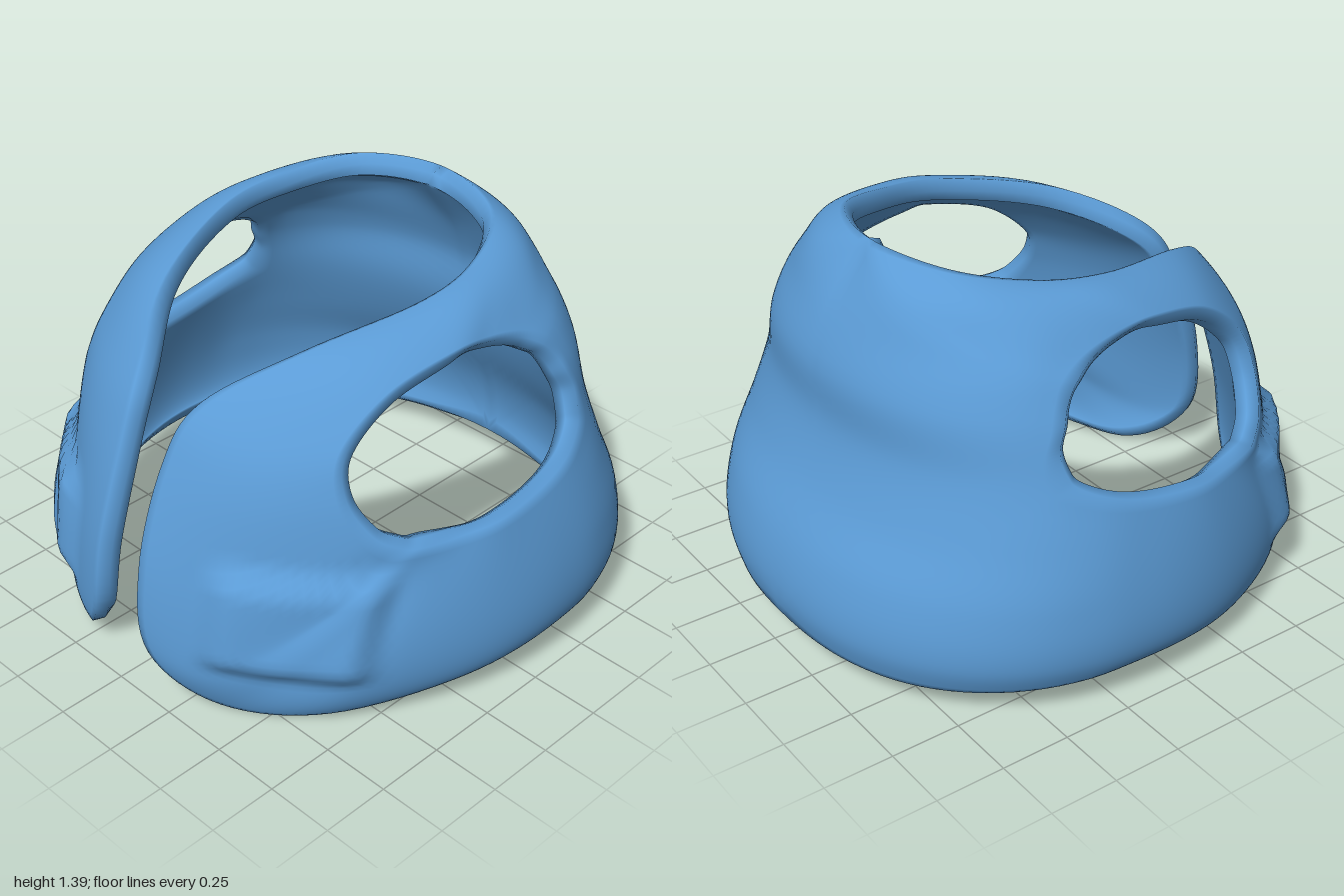
import * as THREE from 'three';
import { mergeGeometries, mergeVertices } from 'three/addons/utils/BufferGeometryUtils.js';

// Three loops of the left half, matched spoke by spoke:
// from the shoulder down the front, along the hem, up the back.
const armhole = [
  [.66, 1.18, .1], [.62, 1.12, .34], [.6, .98, .52], [.64, .84, .56], [.72, .72, .52],
  [.78, .67, .45], [.82, .66, .38], [.86, .66, .25], [.9, .67, .1], [.9, .7, -.1],
  [.88, .74, -.24], [.84, .79, -.34], [.82, .83, -.37], [.79, .9, -.38], [.77, .97, -.35],
  [.74, 1.03, -.32], [.72, 1.09, -.27], [.69, 1.14, -.18], [.67, 1.17, -.05]];
const middle = [
  [.57, 1.26, .05], [.48, 1.18, .4], [.38, 1.0, .66], [.38, .8, .77], [.42, .5, .82],
  [.45, .28, .83], [.6, .27, .73], [.8, .28, .54], [.95, .3, .2], [.99, .32, -.15],
  [.92, .35, -.5], [.66, .38, -.77], [.42, .4, -.86], [.4, .6, -.78], [.42, .85, -.7],
  [.42, 1.05, -.66], [.4, 1.22, -.6], [.52, 1.27, -.42], [.57, 1.28, -.18]];
const border = [
  [.47, 1.28, .05], [.33, 1.2, .44], [.15, 1.05, .72], [.1, .85, .85], [.1, .5, .97],
  [.14, .18, .985], [.35, .005, .86], [.66, .03, .65], [.9, .1, .25], [.95, .12, -.15],
  [.87, .11, -.55], [.58, .09, -.83], [.3, .09, -.94], [0, .1, -.98], [0, .62, -.84],
  [0, 1.03, -.78], [0, 1.39, -.56], [.31, 1.37, -.46], [.45, 1.32, -.22]];

// Half-width and depth of the back at every 0.2 of height
const backProfile = new THREE.SplineCurve([
  [.9, .95], [.98, .99], [.975, .95], [.93, .85], [.86, .785], [.78, .775], [.67, .69], [.5, .56],
].map(p => new THREE.Vector2(...p)));

const STEPS = 8, AROUND = armhole.length * STEPS, ACROSS = 24, THICK = 0.08, BULGE = 0.018;
const smoothstep = THREE.MathUtils.smoothstep;

// Smooth point on a closed loop; runs level across the middle of the back
function loopPoint(loop, step) {
  const n = loop.length, i = Math.floor(step / STEPS), t = (step % STEPS) / STEPS;
  const p = [i + n - 1, i, i + 1, i + 2].map(k => loop[k % n].slice());
  const across = ([x, y, z]) => [-x, y, z];
  if (p[1][0] === 0) p[0] = p[2][0] > 0 ? across(p[2]) : p[0][0] > 0 ? p[1] : p[0];
  if (p[2][0] === 0) p[3] = p[1][0] > 0 ? across(p[1]) : p[3][0] > 0 ? p[2] : p[3];
  return new THREE.Vector3(...[0, 1, 2].map(c => {
    const [a, b, d, e] = p.map(q => q[c]);
    return b + 0.5 * t * (d - a + t * (2 * a - 5 * b + 4 * d - e + t * (3 * (b - d) + e - a)));
  }));
}

// Round the back panel: draw its points onto a superellipse around the body
function roundBack(p) {
  const weight = smoothstep(-p.z, .2, .42) * (1 - smoothstep(p.y, 1.08, 1.3));
  if (weight === 0) return p;
  const size = backProfile.getPoint(THREE.MathUtils.clamp(p.y / 1.4, 0, 1));
  const r = (Math.abs(p.x / size.x) ** 2.2 + Math.abs((p.z + .15) / (size.y - .15)) ** 2.2) ** (1 / 2.2);
  const scale = 1 + weight * (1 / r - 1);
  return p.set(p.x * scale, p.y, (p.z + .15) * scale - .15);
}

// Height of the padded pocket on the front at a point of the skin
function pocketHeight({ x, y, z }) {
  if (z < 0.4) return 0;
  return 0.055 * smoothstep(x, .28, .42) * (1 - smoothstep(x, .72, .8))
    * smoothstep(y, .17, .26) * (1 - smoothstep(y, .52, .59));
}

function halfVest(side) {
  // body surface: a parabola through the three loops on every spoke
  const surface = [];
  for (let i = 0; i < AROUND; i++) {
    const [a, m, b] = [armhole, middle, border].map(loop => loopPoint(loop, i));
    const row = [];
    for (let j = 0; j <= ACROSS; j++) {
      const t = j / ACROSS;
      row.push(roundBack(new THREE.Vector3()
        .addScaledVector(a, (1 - t) * (1 - 2 * t))
        .addScaledVector(m, 4 * t * (1 - t))
        .addScaledVector(b, t * (2 * t - 1))));
    }
    surface.push(row);
  }

  const normals = surface.map((row, i) => row.map((p, j) => {
    const u = surface[(i + 1) % AROUND][j].clone().sub(surface[(i + AROUND - 1) % AROUND][j]);
    const n = row[Math.min(j + 1, ACROSS)].clone().sub(row[Math.max(j - 1, 0)]).cross(u);
    if (p.x === 0) n.x = 0;
    return n.normalize();
  }));

  // closed section of each spoke: skin, rounded edge, lining, rounded armhole lip
  const rings = surface.map((row, i) => {
    const skin = row.map((p, j) => p.clone().addScaledVector(normals[i][j], pocketHeight(p)));
    const lining = row.map((p, j) => p.clone().addScaledVector(normals[i][j], -THICK));
    const edge = (k, next) => {
      const push = row[k].clone().sub(row[next]);
      if (row[k].x === 0) push.x = 0;
      return skin[k].clone().add(lining[k]).multiplyScalar(0.5)
        .addScaledVector(push.normalize(), BULGE);
    };
    return [...skin, edge(ACROSS, ACROSS - 1), ...lining.slice().reverse(), edge(0, 1)];
  });

  const count = rings[0].length, positions = [], index = [];
  rings.forEach(ring => ring.forEach(p => positions.push(p.x * side, p.y, p.z)));
  for (let i = 0; i < AROUND; i++) {
    const n = (i + 1) % AROUND;
    const seam = surface[i][ACROSS].x === 0 && surface[n][ACROSS].x === 0;
    for (let k = 0; k < count; k++) {
      // the halves join along the back, so no edge is needed there
      if (seam && (k === ACROSS || k === ACROSS + 1)) continue;
      const l = (k + 1) % count;
      const a = i * count + k, b = i * count + l, c = n * count + l, d = n * count + k;
      if (side > 0) index.push(a, b, c, a, c, d);
      else index.push(a, c, b, a, d, c);
    }
  }
  const geometry = new THREE.BufferGeometry();
  geometry.setAttribute('position', new THREE.Float32BufferAttribute(positions, 3));
  geometry.setIndex(index);
  return geometry;
}

export function createModel() {
  const group = new THREE.Group();
  group.name = 'vest';
  const blue = new THREE.MeshStandardMaterial({ color: 0x5b9bd5 });
  blue.name = 'blue cloth';

  // both halves welded into one smooth garment with padded pockets
  const geometry = mergeVertices(mergeGeometries([halfVest(1), halfVest(-1)]), 1e-4);
  geometry.computeVertexNormals();
  const body = new THREE.Mesh(geometry, blue);
  body.name = 'vestBody';
  group.add(body);
  return group;
}
